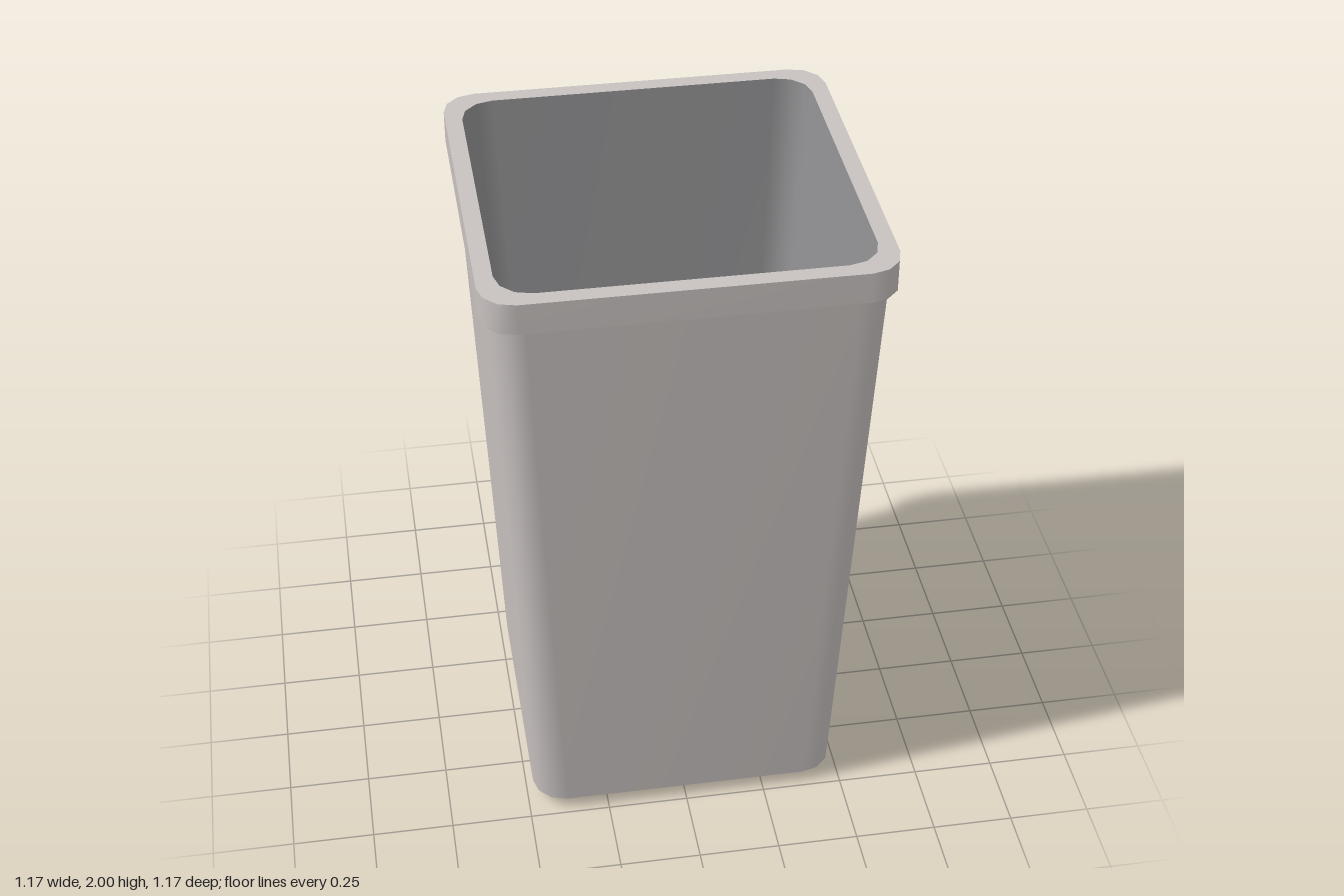
import * as THREE from 'three';

const SEG = 3; // segments per rounded corner

// Rounded-square ring of points at height y; half = 0 gives the centre point
function ring(half, y, radius = 0.1) {
  const pts = [];
  for (let c = 0; c < 4; c++) {
    const mid = (c + 0.5) * Math.PI / 2;
    const sx = Math.sign(Math.cos(mid)), sz = Math.sign(Math.sin(mid));
    for (let i = 0; i <= SEG; i++) {
      const a = (c + i / SEG) * Math.PI / 2;
      const inset = Math.max(half - radius, 0), r = Math.min(radius, half);
      pts.push(sx * inset + Math.cos(a) * r, y, sz * inset + Math.sin(a) * r);
    }
  }
  return pts;
}

// Band joining two rings, smooth around the corners; faces (b - a) x tangent
function band(name, a, b, material) {
  const n = a.length / 3, index = [];
  for (let i = 0; i < n; i++) {
    const j = (i + 1) % n;
    index.push(i, n + i, j, j, n + i, n + j);
  }
  const geo = new THREE.BufferGeometry();
  geo.setAttribute('position', new THREE.Float32BufferAttribute([...a, ...b], 3));
  geo.setIndex(index);
  geo.computeVertexNormals();
  const mesh = new THREE.Mesh(geo, material);
  mesh.name = name;
  return mesh;
}

export function createModel() {
  const shell = new THREE.MeshStandardMaterial({ color: 0xc8c2c0 });
  shell.name = 'warm grey shell';
  const lining = new THREE.MeshStandardMaterial({ color: 0x939395 });
  lining.name = 'grey lining';
  const rubber = new THREE.MeshStandardMaterial({ color: 0x333333 });
  rubber.name = 'dark rubber';

  const model = new THREE.Group();
  model.name = 'wasteBin';

  // Tapered outer body, closed underneath
  const body = new THREE.Group();
  body.name = 'body';
  body.add(
    band('base', ring(0, 0.04), ring(0.48, 0.04), shell),
    band('outerWall', ring(0.48, 0.04), ring(0.562, 1.905), shell),
  );

  // Projecting rim
  const rim = new THREE.Group();
  rim.name = 'rim';
  rim.add(
    band('rimUnderside', ring(0.562, 1.905), ring(0.583, 1.905), shell),
    band('rimSide', ring(0.583, 1.905), ring(0.583, 2), shell),
    band('rimTop', ring(0.583, 2), ring(0.532, 2), shell),
  );

  // Hollow inside
  const inside = new THREE.Group();
  inside.name = 'inside';
  inside.add(
    band('innerWall', ring(0.532, 2), ring(0.447, 0.08), lining),
    band('innerFloor', ring(0.447, 0.08), ring(0, 0.08), lining),
  );
  model.add(body, rim, inside);

  // Four square feet
  const footGeo = new THREE.BoxGeometry(0.13, 0.042, 0.13);
  for (const x of [-1, 1]) for (const z of [-1, 1]) {
    const foot = new THREE.Mesh(footGeo, rubber);
    foot.name = (z > 0 ? 'front' : 'back') + (x > 0 ? 'Left' : 'Right') + 'Foot';
    foot.position.set(x * 0.362, 0.021, z * 0.362);
    model.add(foot);
  }
  return model;
}
